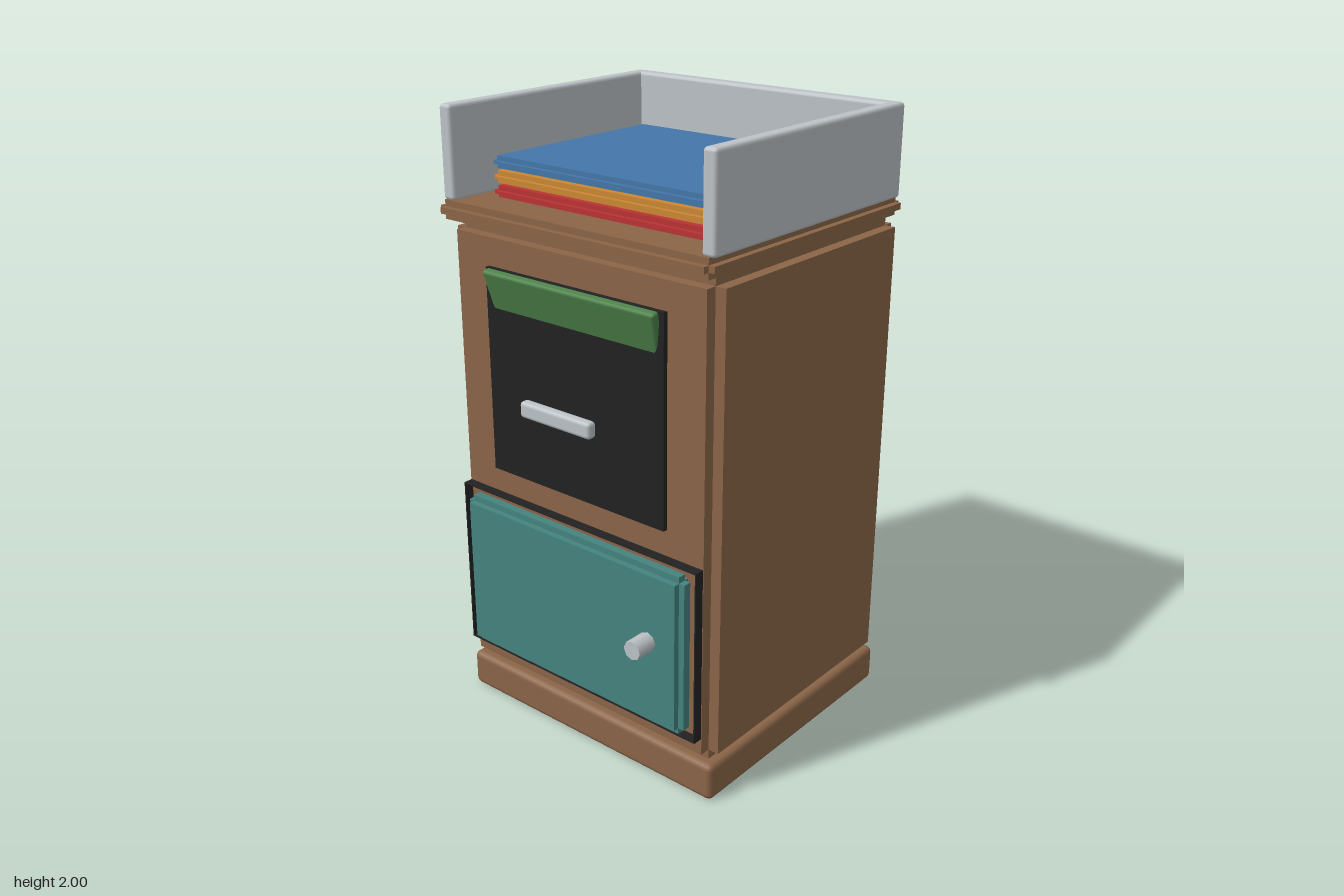
import * as THREE from 'three';
import { RoundedBoxGeometry } from 'three/addons/geometries/RoundedBoxGeometry.js';

const mat = (name, color) => {
  const m = new THREE.MeshStandardMaterial({ color });
  m.name = name;
  return m;
};

export function createModel() {
  const model = new THREE.Group();
  const wood = mat('brown wood', 0x8b6548);
  const metal = mat('light grey metal', 0xbdc3c7);
  const black = mat('black', 0x222222);
  const teal = mat('teal', 0x44837f);
  const green = mat('green', 0x4d814a);
  const blue = mat('blue', 0x4477aa);
  const orange = mat('orange', 0xcc8833);
  const red = mat('red', 0xbb3333);

  const add = (name, geo, material, x, y, z, parent = model) => {
    const m = new THREE.Mesh(geo, material);
    m.name = name;
    m.position.set(x, y, z);
    parent.add(m);
    return m;
  };
  // boxes are given by their [min, max] range on each axis
  const mid = ([a, b]) => (a + b) / 2;
  const len = ([a, b]) => b - a;
  const box = (name, material, xs, ys, zs, parent) =>
    add(name, new THREE.BoxGeometry(len(xs), len(ys), len(zs)), material, mid(xs), mid(ys), mid(zs), parent);
  const rounded = (name, material, xs, ys, zs, r) =>
    add(name, new RoundedBoxGeometry(len(xs), len(ys), len(zs), 2, r), material, mid(xs), mid(ys), mid(zs));

  // box with stepped edges: three boxes, each full size along one axis
  const steppedBox = (name, material, xs, ys, zs, r) => {
    const g = new THREE.Group();
    g.name = name;
    const inset = ([a, b]) => [a + r, b - r];
    box(name + 'Sides', material, xs, inset(ys), inset(zs), g);
    box(name + 'Ends', material, inset(xs), ys, inset(zs), g);
    box(name + 'Faces', material, inset(xs), inset(ys), zs, g);
    model.add(g);
  };

  // cabinet
  rounded('base', wood, [-0.52, 0.52], [0, 0.125], [-0.525, 0.39], 0.02);
  steppedBox('body', wood, [-0.52, 0.52], [0.123, 1.66], [-0.525, 0.39], 0.036);
  steppedBox('topSlab', wood, [-0.525, 0.525], [1.657, 1.717], [-0.525, 0.432], 0.02);

  // tray walls
  for (const s of [-1, 1]) {
    const xs = s > 0 ? [0.473, 0.52] : [-0.52, -0.473];
    rounded(s > 0 ? 'leftTrayWall' : 'rightTrayWall', metal, xs, [1.713, 2], [-0.505, 0.405], 0.012);
  }
  rounded('backTrayWall', metal, [-0.505, 0.505], [1.713, 2], [-0.507, -0.455], 0.012);

  // stacked trays
  [['red', red], ['orange', orange], ['blue', blue]].forEach(([name, material], i) => {
    const y = 1.715 + i * 0.045;
    steppedBox(name + 'Tray', material, [-0.42, 0.42], [y, y + 0.038], [-0.4, 0.3], 0.015);
  });

  // upper flap panel with a tilted, tapering visor and a handle
  box('flapPanel', black, [-0.348, 0.348], [0.875, 1.535], [0.38, 0.405]);
  const visorGeo = new RoundedBoxGeometry(0.67, 0.16, 0.03, 2, 0.01);
  const p = visorGeo.attributes.position;
  for (let i = 0; i < p.count; i++) p.setX(i, p.getX(i) * (0.978 + p.getY(i) * 0.28));
  const visor = add('visor', visorGeo, green, 0, 1.458, 0.402);
  visor.rotation.x = 0.27;
  rounded('flapHandle', metal, [-0.14, 0.14], [1.128, 1.18], [0.455, 0.49], 0.012);

  // lower door inside an open rim
  const rim = new THREE.Group();
  rim.name = 'doorRim';
  const t = 0.004;
  const [w, y0, y1] = [0.482, 0.215, 0.79];
  box('rimLeft', black, [w - t, w], [y0, y1], [0.385, 0.422], rim);
  box('rimRight', black, [-w, -w + t], [y0, y1], [0.385, 0.422], rim);
  box('rimTop', black, [-w, w], [y1 - t, y1], [0.385, 0.422], rim);
  box('rimBottom', black, [-w, w], [y0, y0 + t], [0.385, 0.422], rim);
  model.add(rim);
  steppedBox('door', teal, [-0.448, 0.448], [0.232, 0.765], [0.385, 0.452], 0.02);

  // door knob
  const knob = add('doorKnob', new THREE.CylinderGeometry(0.031, 0.031, 0.07, 8), metal, 0.33, 0.528, 0.493);
  knob.rotation.x = Math.PI / 2;

  return model;
}
